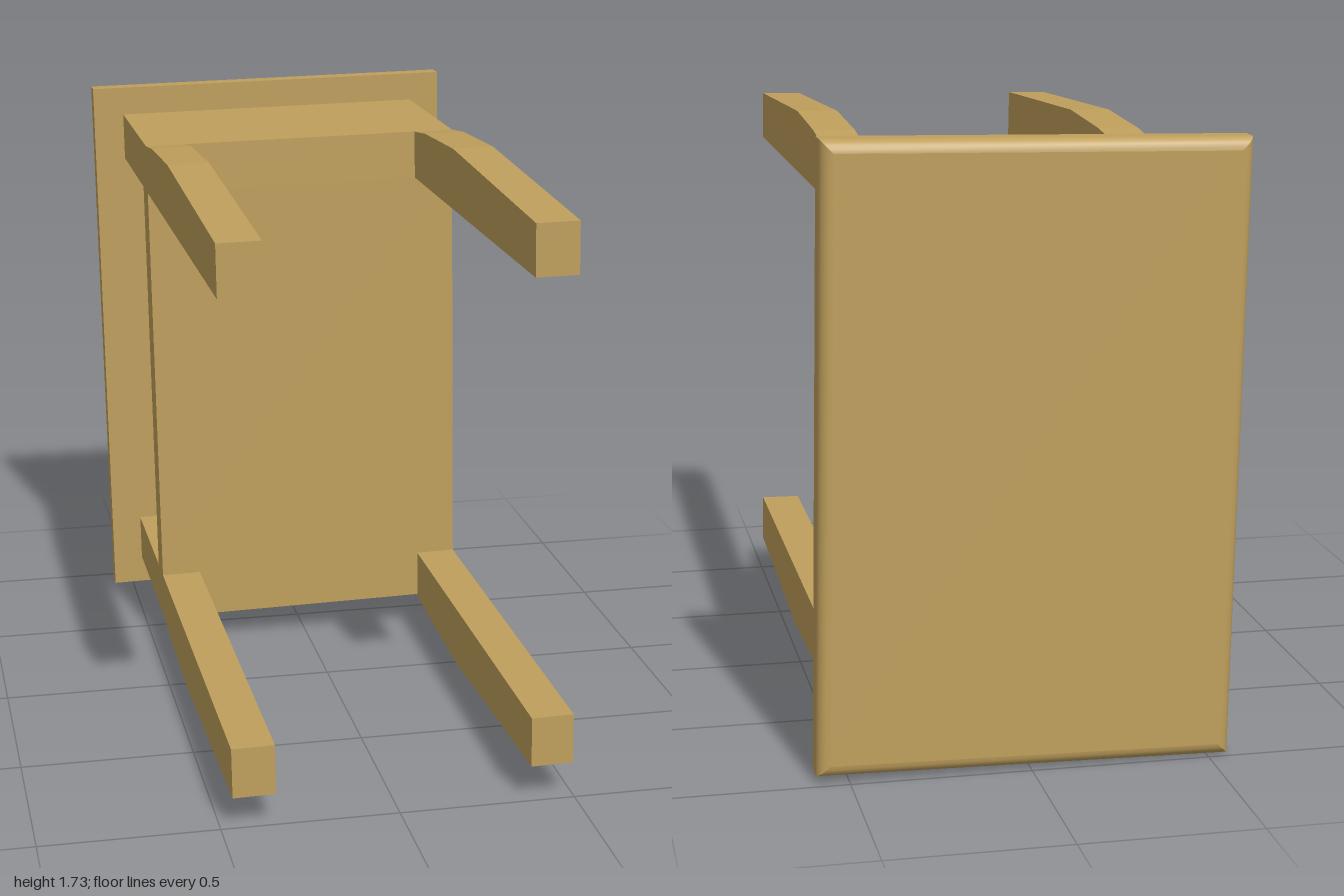
import * as THREE from 'three';

const wood = new THREE.MeshStandardMaterial({ color: 0xbf9f5c });

// Half sizes of the body and legs, and depths along z
const HX = 0.48, HY = 0.77, LEG_X = 0.12, INNER_Y = 0.625;
const Z_TOP = -0.91, Z_APRON = -0.34, Z_FOOT = 1;

function block(name, x0, x1, y0, y1, z0, z1) {
  const mesh = new THREE.Mesh(new THREE.BoxGeometry(x1 - x0, y1 - y0, z1 - z0), wood);
  mesh.position.set((x0 + x1) / 2, (y0 + y1) / 2, (z0 + z1) / 2);
  mesh.name = name;
  return mesh;
}

// Slab whose outer edge is rounded over toward -z
function tabletopGeometry(w, h) {
  const arc = 5, r = 0.035;
  const layers = [[Z_TOP, 0], [-1 + r, 0]];
  for (let i = 1; i <= arc; i++) {
    const a = (i / arc) * Math.PI / 2;
    layers.push([-1 + r - r * Math.sin(a), r * (1 - Math.cos(a))]);
  }
  const n = layers.length - 1;
  const geo = new THREE.BoxGeometry(w, h, 1, 1, 1, n);
  const p = geo.attributes.position;
  for (let i = 0; i < p.count; i++) {
    const [z, inset] = layers[Math.round((0.5 - p.getZ(i)) * n)];
    p.setXYZ(i, Math.sign(p.getX(i)) * (w / 2 - inset), Math.sign(p.getY(i)) * (h / 2 - inset), z);
  }
  geo.computeVertexNormals();
  return geo;
}

// Leg: straight inside, gently bowed outside, extruded across x
function legGeometry() {
  const outline = [
    [Z_APRON, INNER_Y], [Z_FOOT, INNER_Y], [Z_FOOT, HY],
    [0.14, 0.805], [-0.2, 0.788], [Z_APRON, HY],
  ].map(([z, y]) => new THREE.Vector2(z, y));
  const geo = new THREE.ExtrudeGeometry(new THREE.Shape(outline), { depth: LEG_X, bevelEnabled: false });
  return geo.rotateY(-Math.PI / 2).translate(HX, 0, 0);
}

export function createModel() {
  const model = new THREE.Group();
  model.name = 'table';
  const table = new THREE.Group();
  table.name = 'tippedTable';
  table.position.y = 0.868;
  table.rotation.z = THREE.MathUtils.degToRad(1);
  model.add(table);

  const top = new THREE.Mesh(tabletopGeometry(1.15, 1.715), wood);
  top.name = 'tabletop';
  table.add(top);

  // Hollow body, open on the -x side
  table.add(
    block('upperApron', -HX, HX, INNER_Y, HY, Z_TOP, Z_APRON),
    block('lowerApron', -HX, HX, -HY, -INNER_Y, Z_TOP, Z_APRON),
    block('bottomPanel', -HX, HX, -INNER_Y, INNER_Y, Z_APRON - 0.1, Z_APRON),
    block('sideApron', HX - LEG_X, HX, -INNER_Y, INNER_Y, Z_TOP, Z_APRON - 0.1),
  );

  // Four legs
  const legGeo = legGeometry();
  for (const turn of [0, Math.PI]) {
    for (const shift of [0, LEG_X - 2 * HX]) {
      const leg = new THREE.Mesh(legGeo, wood);
      leg.name = 'leg';
      leg.rotation.z = turn;
      leg.position.x = turn ? -shift : shift;
      table.add(leg);
    }
  }
  return model;
}
